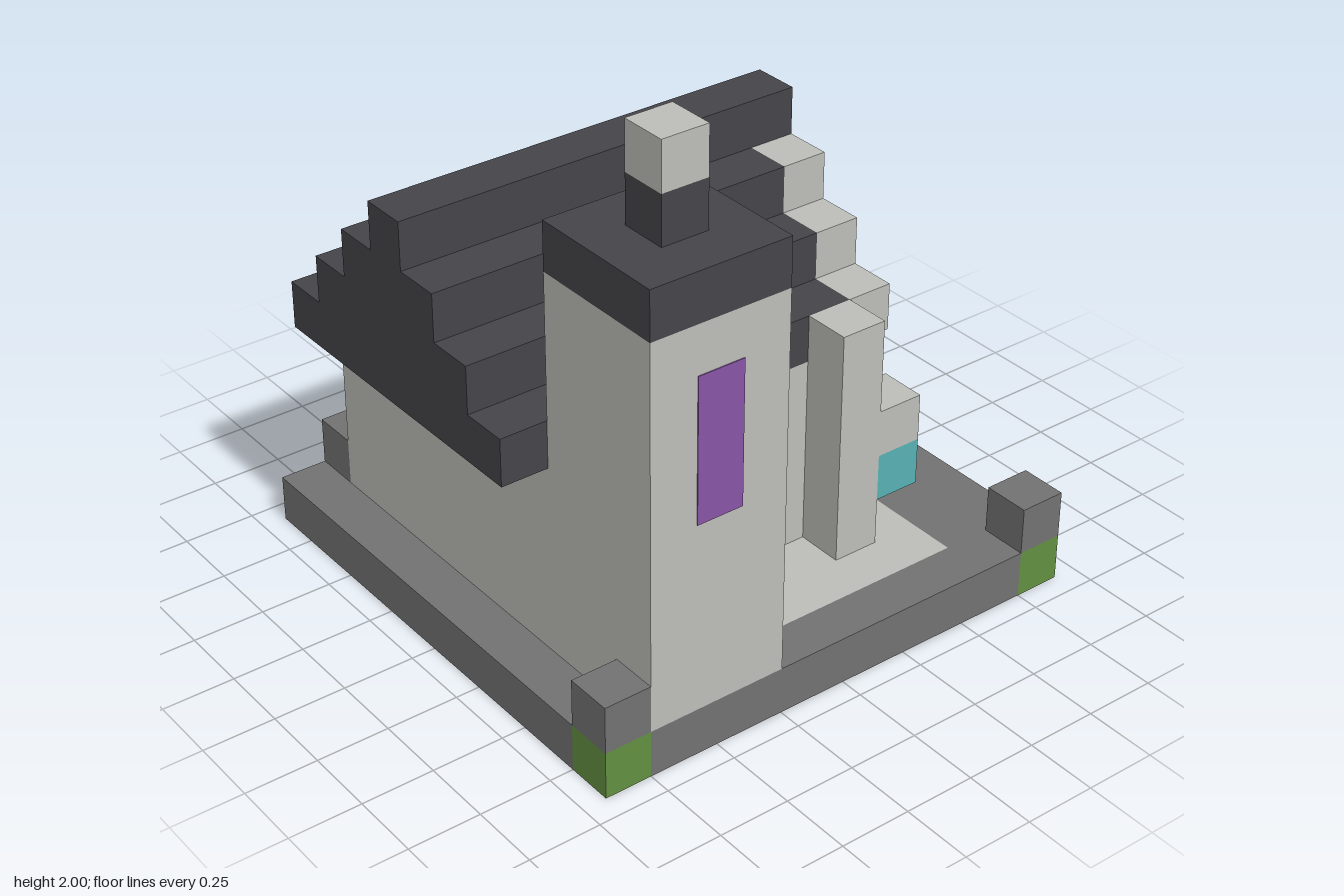
import * as THREE from 'three';

const U = 1 / 6; // one block

const mat = (name, color) => {
  const m = new THREE.MeshStandardMaterial({ color });
  m.name = name;
  return m;
};

export function createModel() {
  const light = mat('pale stone', 0xbdbdb8);
  const gray = mat('gray stone', 0x727272);
  const dark = mat('dark slate', 0x454449);
  const purple = mat('purple glass', 0x8755a5);
  const blue = mat('pale blue glass', 0x9fb6be);
  const teal = mat('teal lamp', 0x58b0b4);
  const green = mat('mossy green', 0x628f41);

  const model = new THREE.Group();
  model.name = 'chapel';
  const group = (name) => {
    const g = new THREE.Group();
    g.name = name;
    model.add(g);
    return g;
  };

  // Box between block coordinates: x and z run 0..11, y runs 0..12
  const box = (parent, name, m, x0, x1, y0, y1, z0, z1) => {
    const geo = new THREE.BoxGeometry((x1 - x0) * U, (y1 - y0) * U, (z1 - z0) * U);
    const mesh = new THREE.Mesh(geo, m);
    mesh.name = name;
    mesh.position.set(((x0 + x1) / 2 - 5.5) * U, ((y0 + y1) / 2) * U, ((z0 + z1) / 2 - 5.5) * U);
    parent.add(mesh);
  };
  // The same box on both sides of the nave, whose axis is x = 4.5
  const pair = (parent, name, m, x0, x1, ...rest) => {
    box(parent, name, m, x0, x1, ...rest);
    box(parent, name, m, 9 - x1, 9 - x0, ...rest);
  };

  // Base: gray border around a pale floor
  const base = group('base');
  box(base, 'floor', light, 1, 10, 0, 1, 2, 10);
  box(base, 'backBorder', gray, 1, 10, 0, 1, 0, 2);
  box(base, 'frontBorder', gray, 1, 10, 0, 1, 10, 11);
  box(base, 'leftBorder', gray, 10, 11, 0, 1, 1, 10);
  box(base, 'rightBorder', gray, 0, 1, 0, 1, 1, 9);
  box(base, 'rightBorderEnd', gray, 0, 1, 0, 1, 10, 11);

  // Short posts on green footings
  const posts = group('posts');
  for (const [x, z] of [[0, 0], [10, 0], [10, 10], [0, 9]]) {
    box(posts, 'footing', green, x, x + 1, 0, 1, z, z + 1);
    box(posts, 'post', gray, x, x + 1, 1, 2, z, z + 1);
  }

  // Nave walls with windows set through the side walls
  const walls = group('walls');
  box(walls, 'frontWall', light, 1, 8, 1, 5, 9, 10);
  pair(walls, 'sideSill', light, 1, 2, 1, 2, 4, 9);
  pair(walls, 'sidePier', light, 1, 2, 2, 4, 4, 5);
  pair(walls, 'sidePier', light, 1, 2, 2, 4, 8, 9);
  pair(walls, 'sideHeader', light, 1, 2, 4, 5, 4, 6);
  pair(walls, 'sideHeader', light, 1, 2, 4, 5, 7, 9);
  pair(walls, 'sideWindow', purple, 1, 2, 2, 4, 5, 8);
  pair(walls, 'sideWindowTop', blue, 1, 2, 4, 5, 6, 7);

  // Entrance wall at the back, with buttresses and hanging lamps
  const entrance = group('entrance');
  pair(entrance, 'buttress', light, 0, 1, 1, 6, 3, 4);
  pair(entrance, 'entranceWall', light, 1, 2, 1, 5, 3, 4);
  pair(entrance, 'doorSill', light, 2, 3, 1, 2, 3, 4);
  pair(entrance, 'doorWindow', purple, 2, 3, 2, 4, 3, 4);
  box(entrance, 'lintel', light, 2, 7, 4, 5, 3, 4);
  pair(entrance, 'lampBody', teal, 0, 1, 2, 3, 2, 3);
  pair(entrance, 'lampCap', light, 0, 1, 3, 4, 2, 3);

  // Stepped gable over the entrance
  const gable = group('gable');
  pair(gable, 'gableEnd', light, 1, 2, 5, 6, 2, 3);
  pair(gable, 'gableTrim', dark, 2, 3, 5, 6, 2, 3);
  box(gable, 'gableWindow', purple, 3, 6, 5, 6, 2, 3);
  pair(gable, 'gableStep', light, 2, 4, 6, 7, 2, 3);
  box(gable, 'gableLight', blue, 4, 5, 6, 7, 2, 3);
  box(gable, 'gableTop', light, 3, 6, 7, 8, 2, 3);

  // Stepped roof, with the ridge reaching over the gable
  const roof = group('roof');
  for (let i = 0; i < 4; i++) {
    box(roof, 'roofStep', dark, 1 + i, 8 - i, 5 + i, 6 + i, i === 3 ? 2 : 3, 11);
  }

  // Tower with cap, finial and thin window plates
  const tower = group('tower');
  const t = 0.02;
  box(tower, 'towerShaft', light, 8, 11, 1, 9, 7, 10);
  box(tower, 'towerCap', dark, 8, 11, 9, 10, 7, 10);
  box(tower, 'finialBase', dark, 9, 10, 10, 11, 8, 9);
  box(tower, 'finialTop', light, 9, 10, 11, 12, 8, 9);
  box(tower, 'towerSideWindow', purple, 11 - t, 11 + t, 5, 8, 8, 9);
  box(tower, 'towerBackWindow', purple, 9, 10, 5, 8, 7 - t, 7 + t);

  return model;
}
